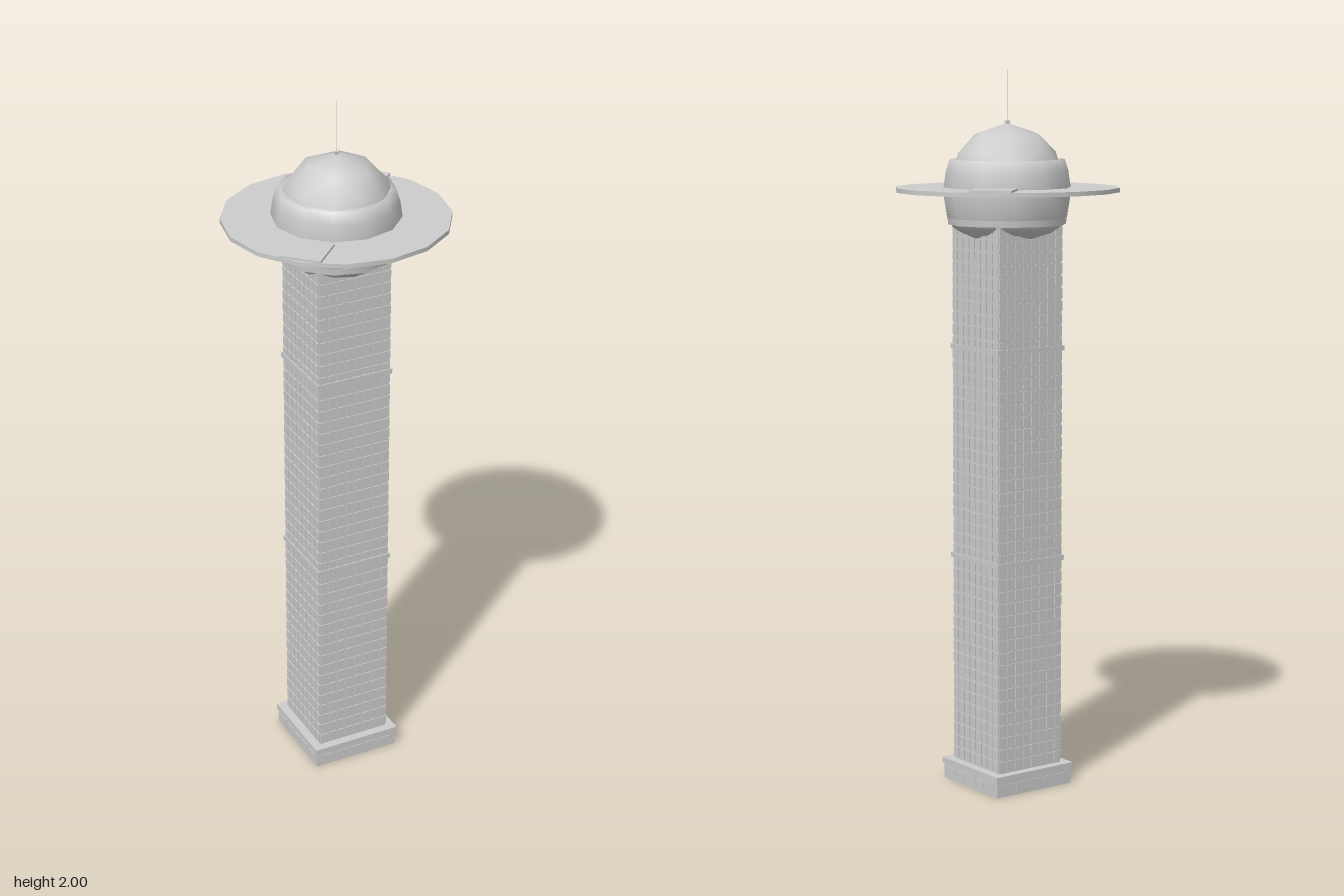
import * as THREE from 'three';
import { mergeGeometries } from 'three/addons/utils/BufferGeometryUtils.js';

const stone = new THREE.MeshStandardMaterial({ color: 0xcccccc });
stone.name = 'pale grey';

function box(w, h, d, x, y, z) {
  return new THREE.BoxGeometry(w, h, d).translate(x, y, z);
}

// Repeats a front (+z) geometry on all four sides
function fourSides(geometry) {
  return mergeGeometries([0, 1, 2, 3].map(i => geometry.clone().rotateY(i * Math.PI / 2)));
}

export function createModel() {
  const group = new THREE.Group();
  const add = (name, geometry) => {
    const mesh = new THREE.Mesh(geometry, stone);
    mesh.name = name;
    group.add(mesh);
    return mesh;
  };

  // Plinth with a cap slab and shallow panels
  add('plinth', box(0.256, 0.044, 0.256, 0, 0.022, 0));
  add('plinthCap', box(0.264, 0.016, 0.264, 0, 0.052, 0));
  const panels = [];
  for (let i = -2; i <= 2; i++) panels.push(box(0.036, 0.022, 0.003, i * 0.046, 0.024, 0.1285));
  add('plinthPanels', fourSides(mergeGeometries(panels)));

  // Tower shaft with a grid of raised window panels
  add('shaft', box(0.214, 1.57, 0.214, 0, 0.845, 0));
  const windows = [];
  const columns = 8, rows = 44, pitchX = 0.0272, pitchY = 0.0345;
  for (let r = 0; r < rows; r++) {
    for (let c = 0; c < columns; c++) {
      windows.push(box(0.022, 0.028, 0.004,
        (c - (columns - 1) / 2) * pitchX, 0.08 + r * pitchY, 0.108));
    }
  }
  add('windowPanels', fourSides(mergeGeometries(windows)));

  // Two belts around the shaft
  for (const y of [0.65, 1.24]) add('belt', box(0.226, 0.014, 0.226, 0, y, 0));

  // Faceted pod below and around the disc
  const profile = [[0.001, 1.535], [0.1, 1.54], [0.15, 1.572], [0.166, 1.6], [0.177, 1.67],
    [0.169, 1.725], [0.159, 1.757], [0.14, 1.757]].map(p => new THREE.Vector2(...p));
  add('pod', new THREE.LatheGeometry(profile, 12));

  // Collar under the pod
  add('collar', new THREE.CylinderGeometry(0.165, 0.163, 0.02, 12).translate(0, 1.59, 0));

  // Domed roof
  add('dome', new THREE.IcosahedronGeometry(0.16, 1).translate(0, 1.696, 0));

  // Wide disc with two square landing pads
  add('disc', new THREE.CylinderGeometry(0.31, 0.31, 0.012, 16).rotateY(Math.PI / 2)
    .translate(0, 1.675, 0));
  for (const s of [-1, 1]) {
    const pad = add('landingPad', new THREE.BoxGeometry(0.113, 0.006, 0.113));
    pad.position.set(s * 0.173, 1.684, -s * 0.173);
    pad.rotation.y = Math.PI / 4;
  }

  // Mast foot and needle-thin mast
  add('mastFoot', box(0.01, 0.012, 0.01, 0, 1.856, 0));
  add('mast', new THREE.CylinderGeometry(0.0006, 0.001, 0.15, 6).translate(0, 1.925, 0));

  return group;
}
